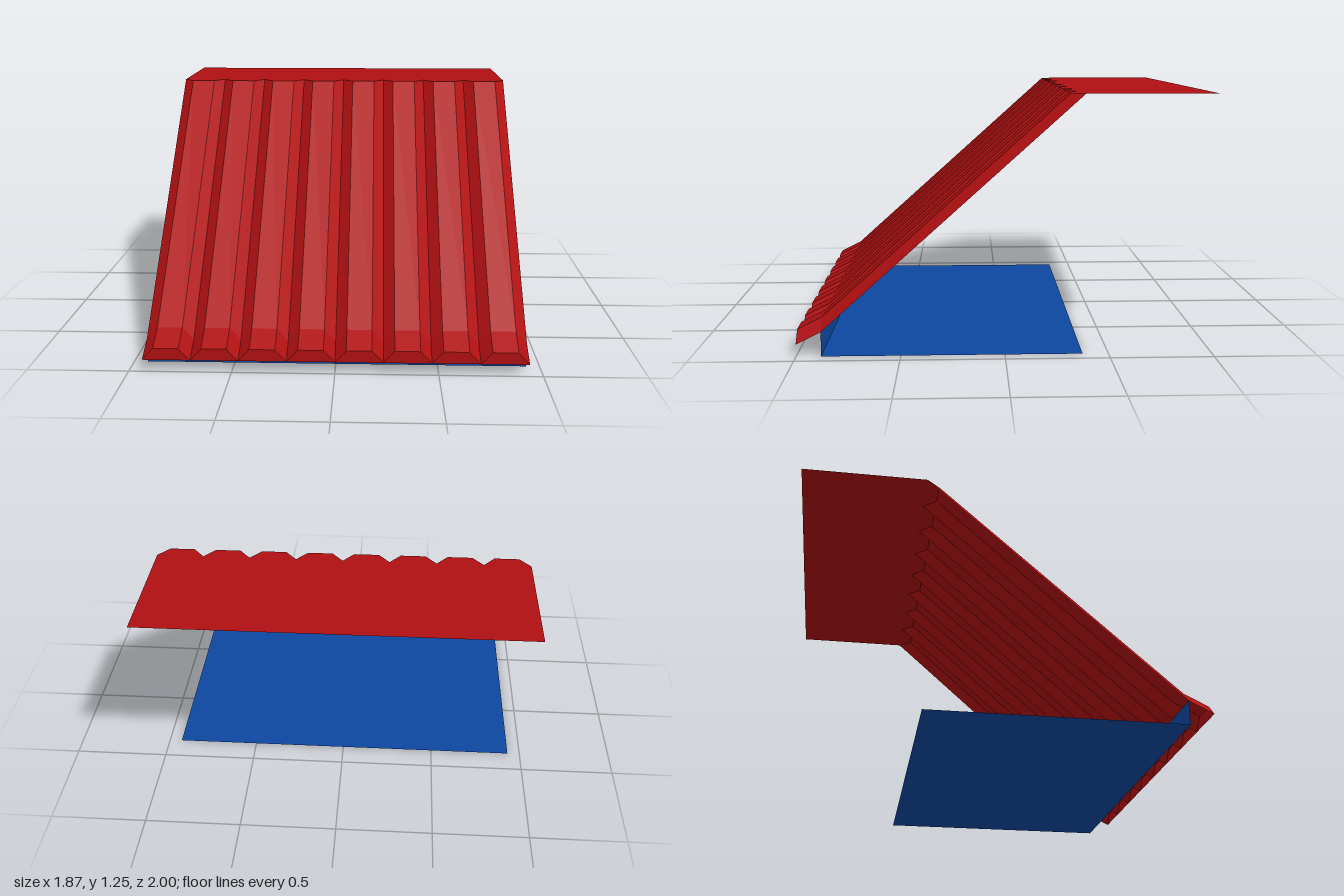
import * as THREE from 'three';

const HALF = 0.933, RIBS = 8, PITCH = (2 * HALF) / RIBS;
const FOOT_Z = 0.88, BACK_Z = -0.375, TOP_Y = 1.25;

const red = new THREE.MeshStandardMaterial({ color: 0xb01012, flatShading: true, side: THREE.DoubleSide });
const blue = new THREE.MeshStandardMaterial({ color: 0x0d47a1, flatShading: true, side: THREE.DoubleSide });

// Rib profile across the width: [x, 0 in a groove or 1 on a ridge]
function ribProfile() {
  const points = [[-HALF, 0]];
  for (let i = 0; i < RIBS; i++) {
    const x = -HALF + i * PITCH;
    points.push([x + 0.055, 1], [x + PITCH - 0.055, 1], [x + PITCH, 0]);
  }
  return points;
}

// Stations down the sheet: [groove y, groove z, ridge y, ridge z]
const STATIONS = [
  [TOP_Y, BACK_Z, TOP_Y, -0.31],
  [0.12, FOOT_Z, 0.18, FOOT_Z],
  [0.06, 1, 0.12, 1],
];

function corrugatedSheet(profile) {
  const at = ([x, ridge], s) => [x, s[ridge * 2], s[ridge * 2 + 1]];
  const positions = [];
  for (let j = 0; j < STATIONS.length - 1; j++) {
    for (let i = 0; i < profile.length - 1; i++) {
      const a = at(profile[i], STATIONS[j]), b = at(profile[i], STATIONS[j + 1]);
      const c = at(profile[i + 1], STATIONS[j + 1]), d = at(profile[i + 1], STATIONS[j]);
      positions.push(...a, ...b, ...c, ...a, ...c, ...d);
    }
  }
  const geometry = new THREE.BufferGeometry();
  geometry.setAttribute('position', new THREE.Float32BufferAttribute(positions, 3));
  geometry.computeVertexNormals();
  return geometry;
}

export function createModel() {
  const group = new THREE.Group();
  const add = (name, geometry, material) => {
    const mesh = new THREE.Mesh(geometry, material);
    mesh.name = name;
    group.add(mesh);
    return mesh;
  };
  const profile = ribProfile();

  // Sloping ribbed sheet with its bent lower lip
  add('corrugatedSheet', corrugatedSheet(profile), red);

  // Trapezoid closing each rib at the lip
  for (let i = 0; i < RIBS; i++) {
    const corners = profile.slice(i * 3, i * 3 + 4);
    const cap = new THREE.Shape(corners.map(([x, r]) => new THREE.Vector2(x, 0.06 + r * 0.06)));
    add('ribEndCap', new THREE.ShapeGeometry(cap), red).position.z = 1;
  }

  // Flat top panel whose front edge follows the ribs
  const edge = profile.map(([x, r]) => new THREE.Vector2(x, r ? 0.31 : -BACK_Z));
  const panel = new THREE.Shape([...edge, new THREE.Vector2(HALF, 1), new THREE.Vector2(-HALF, 1)]);
  add('topPanel', new THREE.ShapeGeometry(panel).rotateX(-Math.PI / 2), red).position.y = TOP_Y;

  // Floor and low front wall
  const floor = new THREE.PlaneGeometry(2 * HALF, FOOT_Z - BACK_Z).rotateX(-Math.PI / 2);
  add('floor', floor, blue).position.z = (FOOT_Z + BACK_Z) / 2;
  add('frontWall', new THREE.PlaneGeometry(2 * HALF, 0.12), blue).position.set(0, 0.06, FOOT_Z);

  return group;
}
